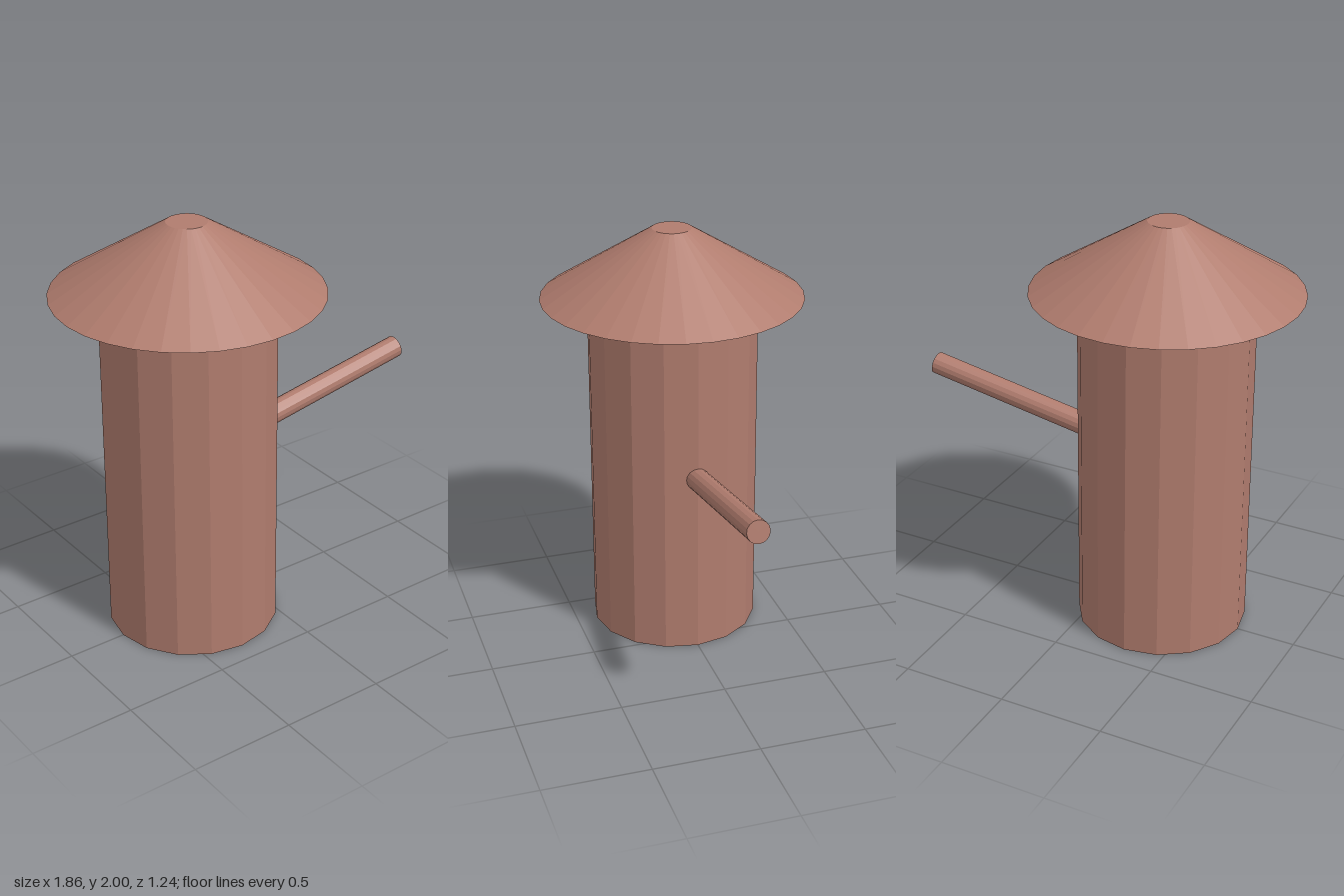
import * as THREE from 'three';

export function createModel() {
  const model = new THREE.Group();
  const clay = new THREE.MeshStandardMaterial({ color: 0xb07c6e, flatShading: true });
  const axisX = -0.3125;

  function addCylinder(name, topRadius, bottomRadius, height, sides) {
    const mesh = new THREE.Mesh(new THREE.CylinderGeometry(topRadius, bottomRadius, height, sides), clay);
    mesh.name = name;
    model.add(mesh);
    return mesh;
  }

  // Upright faceted body
  addCylinder('body', 0.403, 0.403, 1.653, 16).position.set(axisX, 0.8265, 0);

  // Wide cone cap, floating just above the body
  addCylinder('roof', 0.093, 0.62, 0.33, 32).position.set(axisX, 1.835, 0);

  // Round handle rising 10 degrees outward from the middle of the body
  const tilt = THREE.MathUtils.degToRad(10);
  const length = 1.252;
  const handle = addCylinder('handle', 0.054, 0.054, length, 16);
  handle.rotation.z = tilt - Math.PI / 2;
  handle.position.set(axisX + Math.cos(tilt) * length / 2, 0.829 + Math.sin(tilt) * length / 2, 0);

  return model;
}
